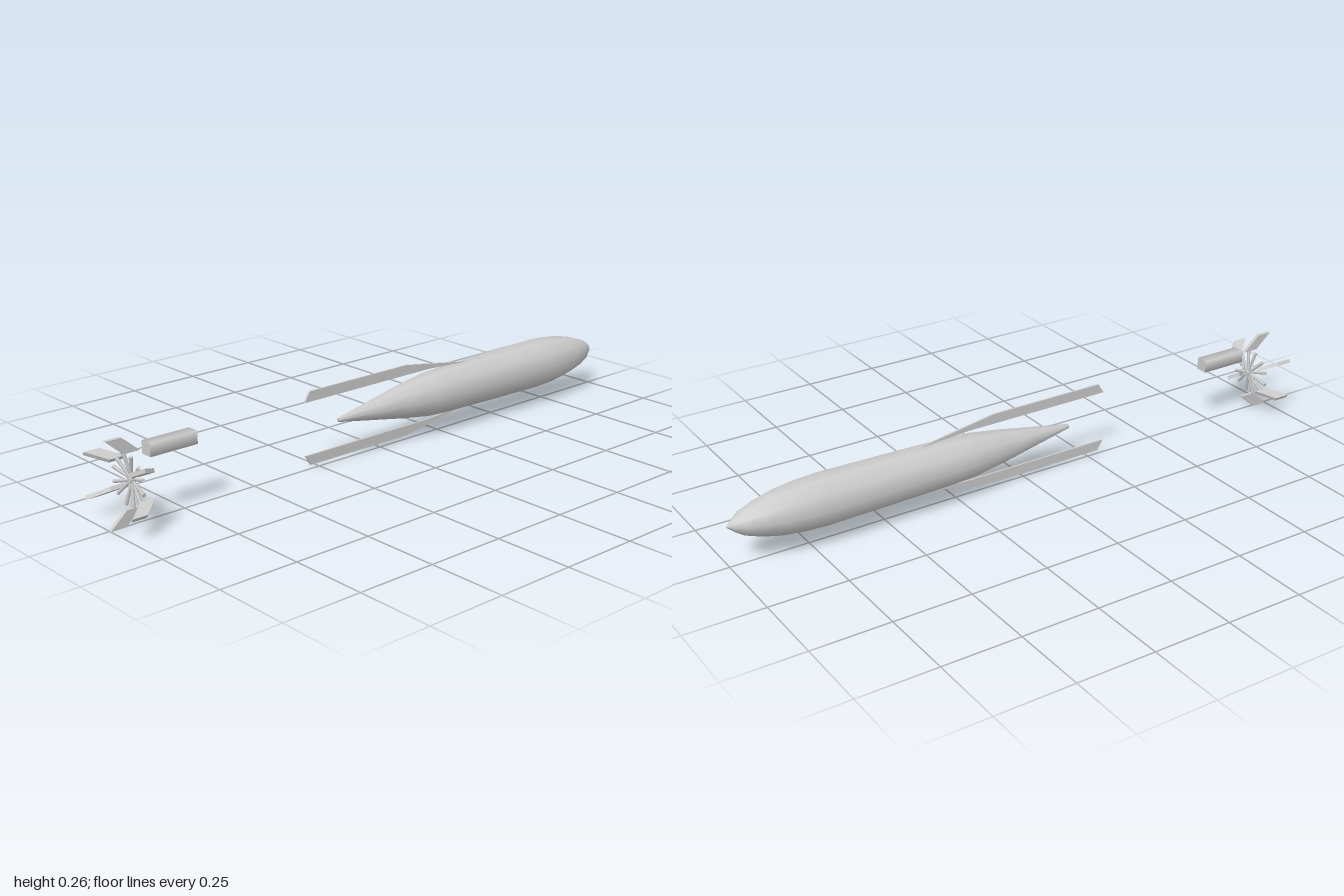
import * as THREE from 'three';

const AXIS_Y = 0.13;
const material = new THREE.MeshStandardMaterial({ color: 0xcccccc, side: THREE.DoubleSide });

function addMesh(parent, name, geometry) {
  const mesh = new THREE.Mesh(geometry, material);
  mesh.name = name;
  parent.add(mesh);
  return mesh;
}

// Flat plate from [x, radius] corners, centred on z = 0
function plate(corners, thickness) {
  const shape = new THREE.Shape(corners.map(([x, r]) => new THREE.Vector2(x, r)));
  return new THREE.ExtrudeGeometry(shape, { depth: thickness, bevelEnabled: false })
    .translate(0, 0, -thickness / 2);
}

// Thin round rod between two points
function rod(a, b, r0, r1) {
  const dir = b.clone().sub(a);
  const g = new THREE.CylinderGeometry(r1, r0, dir.length(), 6);
  g.applyQuaternion(new THREE.Quaternion().setFromUnitVectors(
    new THREE.Vector3(0, 1, 0), dir.clone().normalize()));
  const mid = a.clone().add(b).multiplyScalar(0.5);
  return g.translate(mid.x, mid.y, mid.z);
}

export function createModel() {
  const model = new THREE.Group();
  model.name = 'finnedBody';

  // Ten-sided body along x, pointed nose at +x and tapered tail
  const profile = [
    [0, -0.17], [0.007, -0.17], [0.034, -0.02], [0.054, 0.09], [0.069, 0.19],
    [0.073, 0.26], [0.078, 0.5], [0.081, 0.7], [0.078, 0.77], [0.07, 0.84],
    [0.056, 0.9], [0.038, 0.95], [0.018, 0.98], [0, 1.0],
  ].map(([r, x]) => new THREE.Vector2(r, x));
  const body = addMesh(model, 'body', new THREE.LatheGeometry(profile, 10).rotateZ(-Math.PI / 2));
  body.position.y = AXIS_Y;

  // Long thin fins above and below the tail
  const longFin = [[-0.305, 0.085], [-0.285, 0.117], [0.11, 0.117], [0.38, 0.074], [0.2, 0.085]];
  for (const [name, angle] of [['upperLongFin', 0], ['lowerLongFin', Math.PI]]) {
    const fin = addMesh(model, name, plate(longFin, 0.006));
    fin.position.y = AXIS_Y;
    fin.rotation.x = angle;
  }

  // Six swept tail fins, each carried by a pair of spokes
  const tail = new THREE.Group();
  tail.name = 'tailAssembly';
  tail.position.y = AXIS_Y + 0.001;
  model.add(tail);
  const tailFin = plate([[-1, 0.131], [-0.95, 0.131], [-0.893, 0.082], [-0.945, 0.082]], 0.012);
  for (let i = 0; i < 6; i++) {
    const arm = new THREE.Group();
    arm.name = 'tailArm' + (i + 1);
    arm.rotation.x = i * Math.PI / 3;
    tail.add(arm);
    addMesh(arm, 'tailFin', tailFin);
    for (const s of [-1, 1]) {
      addMesh(arm, 'spoke', rod(
        new THREE.Vector3(-0.92, 0.004, 0),
        new THREE.Vector3(-0.932, 0.075, s * 0.018), 0.004, 0.006));
    }
  }
  addMesh(tail, 'hub', new THREE.CylinderGeometry(0.009, 0.009, 0.02, 8)
    .rotateZ(Math.PI / 2).translate(-0.92, 0, 0));

  // Square canister with soft shading
  const canister = addMesh(model, 'canister',
    new THREE.CylinderGeometry(0.028, 0.028, 0.16, 4).rotateY(Math.PI / 4).rotateZ(Math.PI / 2));
  canister.position.set(-0.79, 0.209, 0);

  return model;
}
